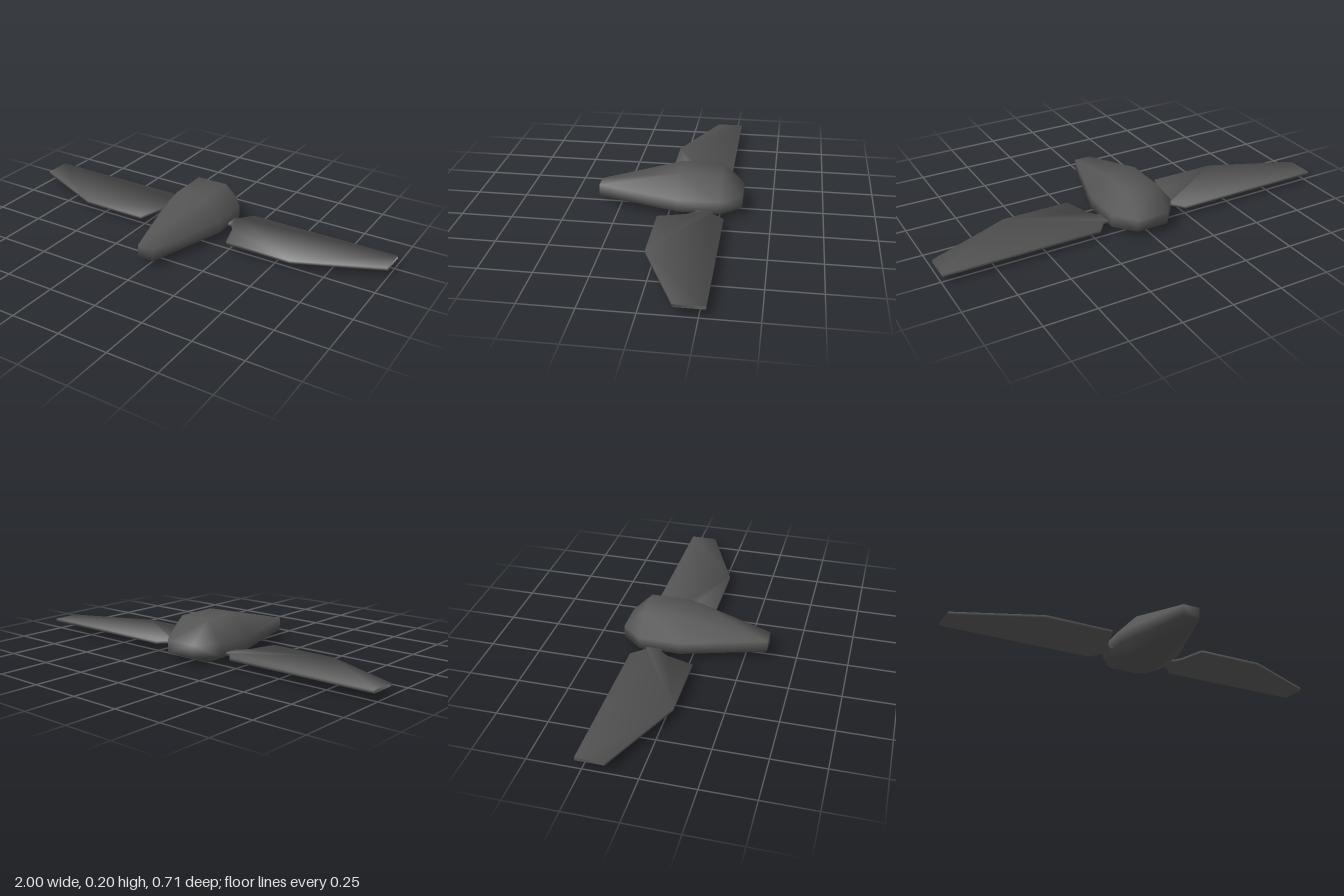
import * as THREE from 'three';
import { mergeVertices } from 'three/addons/utils/BufferGeometryUtils.js';

const material = new THREE.MeshStandardMaterial({ color: 0x555555, side: THREE.DoubleSide });

// Half cross-section, bottom to top, mirrored into a closed ring of eight points
function ring(z, half) {
  const mirrored = half.map(([x, y]) => [-x, y]).reverse();
  return [...half, ...mirrored].map(([x, y]) => [x, y, z]);
}

// Fuselage lofted from tail to nose, with smooth shared corners
function bodyGeometry() {
  const mid = [[0.08, 0], [0.163, 0.042], [0.163, 0.102], [0.08, 0.205]];
  const end = (w) => [[w, 0.042], [w, 0.042], [w, 0.102], [w, 0.102]];
  const rings = [ring(-0.357, end(0.08)), ring(-0.255, mid), ring(-0.05, mid), ring(0.357, end(0.042))];
  const n = 8, index = [];
  for (let r = 0; r < rings.length - 1; r++) {
    for (let i = 0; i < n; i++) {
      const a = r * n + i, b = r * n + (i + 1) % n;
      index.push(a, b, b + n, a, b + n, a + n);
    }
  }
  // flat tail and nose caps
  const last = (rings.length - 1) * n;
  for (let i = 1; i < n - 1; i++) {
    index.push(0, i + 1, i);
    index.push(last, last + i, last + i + 1);
  }
  let geometry = new THREE.BufferGeometry();
  geometry.setAttribute('position', new THREE.Float32BufferAttribute(rings.flat(2), 3));
  geometry.setIndex(index);
  geometry = mergeVertices(geometry, 1e-4);
  // drop triangles that collapsed where the ends narrow to rectangles
  const merged = Array.from(geometry.index.array), kept = [];
  for (let i = 0; i < merged.length; i += 3) {
    const [a, b, c] = merged.slice(i, i + 3);
    if (a !== b && b !== c && c !== a) kept.push(a, b, c);
  }
  geometry.setIndex(kept);
  geometry.computeVertexNormals();
  return geometry;
}

// Thin wing plate, open at the tip and at the neck, with softened edges
function wingGeometry(side) {
  const outline = [
    [0.163, -0.14], [0.18, -0.14], [0.21, -0.1], [0.25, 0.035], [0.59, 0.035],
    [1, -0.145], [1, -0.28], [0.235, -0.28], [0.185, -0.218], [0.163, -0.218],
  ].map(([x, z]) => new THREE.Vector2(x, z));
  const n = outline.length, tip = 5, neck = n - 1;
  const isOpen = (i) => i === tip || i === neck;

  // outward direction of each outline edge
  const edges = outline.map((p, i) => {
    const d = outline[(i + 1) % n].clone().sub(p).normalize();
    return new THREE.Vector2(-d.y, d.x);
  });
  const positions = [], normals = [], index = [];
  for (const [y, up] of [[0.056, 1], [0.042, -1]]) {
    outline.forEach((p, i) => {
      const out = new THREE.Vector2();
      for (const e of [(i + n - 1) % n, i]) if (!isOpen(e)) out.add(edges[e]);
      out.normalize();
      const normal = new THREE.Vector3(out.x * side, up, out.y).normalize();
      positions.push(p.x * side, y, p.y);
      normals.push(...normal.toArray());
    });
  }
  // orient every triangle by the direction it should face
  const v = (i) => new THREE.Vector3().fromArray(positions, i * 3);
  const addFace = (a, b, c, facing) => {
    const normal = v(b).sub(v(a)).cross(v(c).sub(v(a)));
    if (normal.dot(facing) > 0) index.push(a, b, c);
    else index.push(a, c, b);
  };
  const up = new THREE.Vector3(0, 1, 0), down = new THREE.Vector3(0, -1, 0);
  for (const [a, b, c] of THREE.ShapeUtils.triangulateShape(outline, [])) {
    addFace(a, b, c, up);
    addFace(a + n, b + n, c + n, down);
  }
  // rim walls
  for (let i = 0; i < n; i++) {
    if (isOpen(i)) continue;
    const j = (i + 1) % n;
    const facing = new THREE.Vector3(edges[i].x * side, 0, edges[i].y);
    addFace(i, j, j + n, facing);
    addFace(i, j + n, i + n, facing);
  }
  const geometry = new THREE.BufferGeometry();
  geometry.setAttribute('position', new THREE.Float32BufferAttribute(positions, 3));
  geometry.setAttribute('normal', new THREE.Float32BufferAttribute(normals, 3));
  geometry.setIndex(index);
  return geometry;
}

export function createModel() {
  const model = new THREE.Group();
  model.name = 'glider';
  const add = (name, geometry) => {
    const mesh = new THREE.Mesh(geometry, material);
    mesh.name = name;
    model.add(mesh);
  };
  add('body', bodyGeometry());
  add('leftWing', wingGeometry(1));
  add('rightWing', wingGeometry(-1));
  return model;
}
